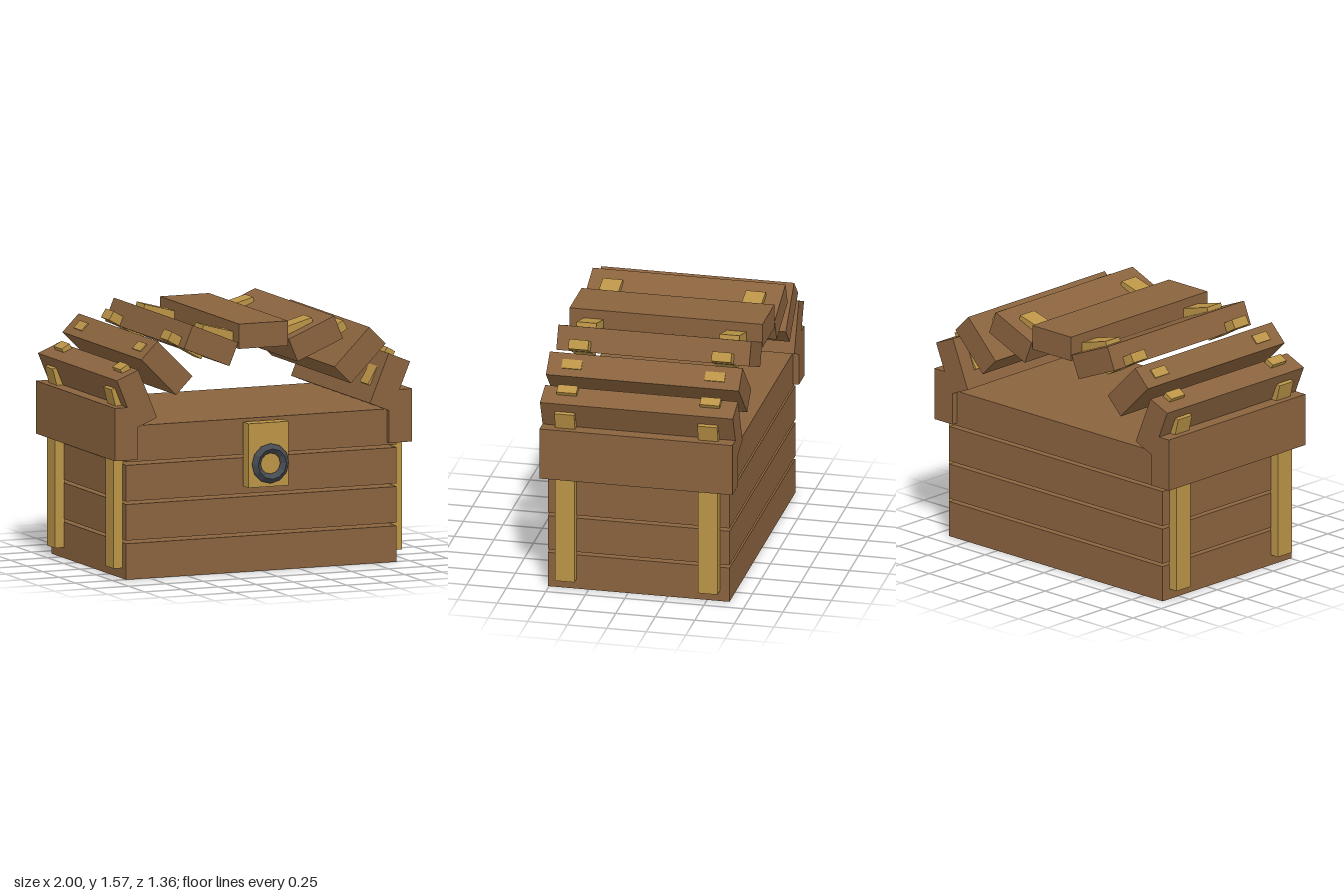
import * as THREE from 'three';

const wood = new THREE.MeshStandardMaterial({ color: 0x8a633e });
wood.name = 'wood';
const brass = new THREE.MeshStandardMaterial({ color: 0xbb9447 });
brass.name = 'brass';
const iron = new THREE.MeshStandardMaterial({ color: 0x464b51, flatShading: true });
iron.name = 'iron';

function addBox(parent, name, material, size, position, degrees = 0) {
  const mesh = new THREE.Mesh(new THREE.BoxGeometry(...size), material);
  mesh.name = name;
  mesh.position.set(...position);
  mesh.rotation.z = THREE.MathUtils.degToRad(degrees);
  parent.add(mesh);
  return mesh;
}

export function createModel() {
  const chest = new THREE.Group();
  chest.name = 'chest';

  // Body: four stacked slabs with open gaps between them
  const body = new THREE.Group();
  body.name = 'body';
  chest.add(body);
  for (let i = 0; i < 4; i++) {
    addBox(body, 'bodySlab', wood, [1.82, 0.225, 1.15], [0, 0.1125 + i * 0.2445, -0.067]);
  }

  // Lid: a flat top plank, then mirrored tilted planks [x, y, degrees]
  const lid = new THREE.Group();
  lid.name = 'lid';
  chest.add(lid);
  const plankSize = [0.33, 0.155, 1.22];
  const lidZ = -0.07;
  addBox(lid, 'topPlank', wood, plankSize, [0, 1.477, lidZ]);
  const planks = [
    [0.3525, 1.431, 22.5],
    [0.65, 1.31, 45],
    [0.851, 1.128, 67.5],
    [0.9225, 0.915, 90],
  ];

  // Short brass links set into the lid planks [x, y, degrees]
  const links = [
    [0.247, 1.4865, 15],
    [0.4775, 1.4275, 30],
    [0.677, 1.342, 45],
    [0.833, 1.207, 60],
    [0.9215, 1.066, 75],
  ];
  const strapZ = [0.3875, -0.5175];

  for (const side of [1, -1]) {
    for (const [x, y, a] of planks) {
      addBox(lid, 'lidPlank', wood, plankSize, [side * x, y, lidZ], side * a);
    }
    for (const z of strapZ) {
      for (const [x, y, a] of links) {
        addBox(lid, 'lidLink', brass, [0.26, 0.061, 0.125], [side * x, y, z], side * a);
      }
      // Upright straps on the chest ends
      addBox(body, 'sideStrap', brass, [0.065, 0.735, 0.125], [side * 0.9375, 0.4325, z]);
    }
  }

  // Lock: plate with a faceted ring
  const lock = new THREE.Group();
  lock.name = 'lock';
  chest.add(lock);
  addBox(lock, 'lockPlate', brass, [0.27, 0.4, 0.087], [0, 0.741, 0.5745]);
  const ring = new THREE.Mesh(new THREE.TorusGeometry(0.095, 0.03, 4, 12), iron);
  ring.name = 'lockRing';
  ring.position.set(0, 0.69, 0.647);
  lock.add(ring);

  return chest;
}
